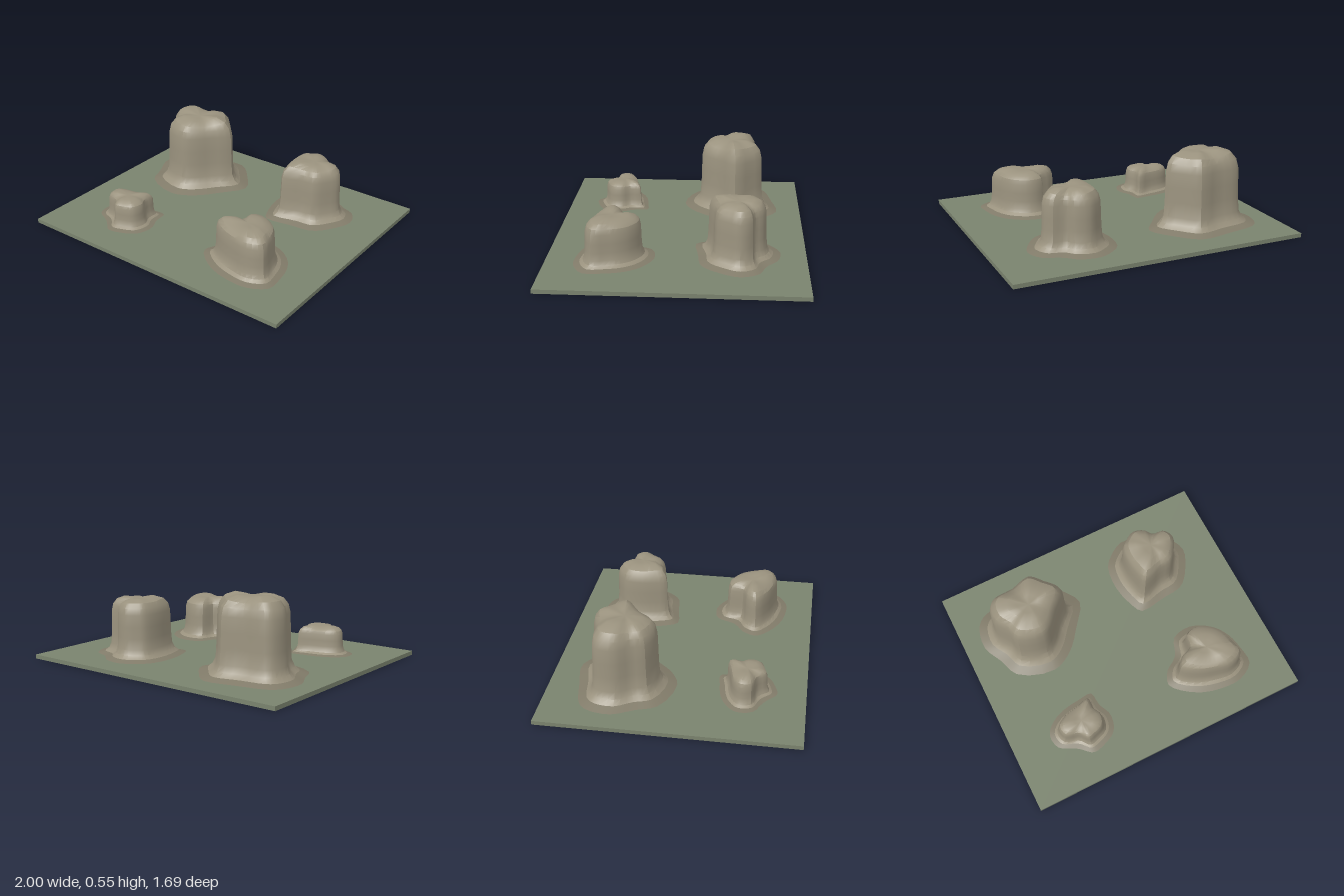
import * as THREE from 'three';
import { toCreasedNormals } from 'three/addons/utils/BufferGeometryUtils.js';

const GROUND = 0.028;
const SEGMENTS = 36;

const material = (color) => new THREE.MeshStandardMaterial({ color, roughness: 0.95 });

// Each rock: peak height, summit [x, z] and the plan outline of its wall
const ROCKS = [
  { name: 'backLeftRock', height: 0.545, summit: [-0.49, -0.335], outline: [
    [-0.225, -0.37], [-0.33, -0.26], [-0.41, -0.165], [-0.49, -0.12], [-0.66, -0.175], [-0.69, -0.265],
    [-0.75, -0.36], [-0.74, -0.47], [-0.695, -0.515], [-0.54, -0.53], [-0.395, -0.565], [-0.305, -0.48]] },
  { name: 'backRightRock', height: 0.43, summit: [0.465, -0.4], outline: [
    [0.66, -0.41], [0.62, -0.33], [0.555, -0.25], [0.46, -0.24], [0.32, -0.2], [0.29, -0.28], [0.275, -0.4],
    [0.29, -0.5], [0.33, -0.54], [0.4, -0.58], [0.49, -0.555], [0.535, -0.5], [0.62, -0.485]] },
  { name: 'frontRightRock', height: 0.325, summit: [0.475, 0.405], outline: [
    [0.5, 0.225], [0.6, 0.28], [0.65, 0.35], [0.675, 0.43], [0.69, 0.53], [0.595, 0.58],
    [0.485, 0.565], [0.35, 0.52], [0.255, 0.445], [0.3, 0.375], [0.38, 0.34], [0.405, 0.245]] },
  { name: 'frontLeftRock', height: 0.217, summit: [-0.5, 0.455], outline: [
    [-0.385, 0.32], [-0.385, 0.4], [-0.355, 0.46], [-0.375, 0.54], [-0.45, 0.575], [-0.505, 0.585],
    [-0.555, 0.525], [-0.645, 0.495], [-0.66, 0.42], [-0.6, 0.37], [-0.475, 0.34]] },
];

// Skin a stack of closed rings from bottom to top; a one-point ring closes as a fan
function skin(rings) {
  const positions = [];
  const put = (...points) => points.forEach((p) => positions.push(p.x, p.y, p.z));
  for (let i = 0; i < rings.length - 1; i++) {
    const low = rings[i], high = rings[i + 1];
    for (let j = 0; j < SEGMENTS; j++) {
      const k = (j + 1) % SEGMENTS;
      if (high.length === 1) { put(low[j], high[0], low[k]); continue; }
      put(low[j], high[j], low[k]);
      put(low[k], high[j], high[k]);
    }
  }
  const geometry = new THREE.BufferGeometry();
  geometry.setAttribute('position', new THREE.Float32BufferAttribute(positions, 3));
  return toCreasedNormals(geometry, 0.5);
}

function createRock({ name, height, summit, outline }, rockMaterial, apronMaterial) {
  const centre = new THREE.Vector3(summit[0], 0, summit[1]);
  const plan = new THREE.CatmullRomCurve3(
    outline.map(([x, z]) => new THREE.Vector3(x, 0, z)), true, 'centripetal')
    .getPoints(SEGMENTS).slice(0, SEGMENTS);
  const reach = plan.map((p) => p.distanceTo(centre));
  const mean = reach.reduce((a, b) => a + b) / SEGMENTS;

  // Scale the plan about the summit, spread it outwards, and lift it;
  // on the dome, long lobes stay higher and the hollows between them sink
  const ring = (scale, spread, y, relief = 0) => plan.map((p, j) => {
    const r = reach[j] * scale + spread;
    const lift = relief * height * THREE.MathUtils.clamp(reach[j] / mean - 1, -0.3, 0.15);
    const point = p.clone().sub(centre).setLength(r).add(centre);
    point.y = y + lift;
    return point;
  });

  const flare = 0.035 + 0.15 * height;
  const footY = GROUND + 0.035 * height;
  const foot = ring(1, flare * 0.48, footY);
  const top = centre.clone().setY(height * 0.975);

  const group = new THREE.Group();
  group.name = name;

  // Low fan of soil around the foot
  const apron = new THREE.Mesh(skin([ring(1, flare, GROUND + 0.001), foot]), apronMaterial);
  apron.name = 'soilApron';

  // Flared foot, banded wall and rounded, lobed dome
  const body = new THREE.Mesh(skin([
    foot,
    ring(1, flare * 0.2, footY + 0.05 * height),
    ring(1, 0.004, footY + 0.13 * height),
    ring(0.99, 0, height * 0.4),
    ring(0.98, 0, height * 0.58),
    ring(0.965, 0, height * 0.77),
    ring(0.91, 0, height * 0.87, 0.05),
    ring(0.78, 0, height * 0.94, 0.12),
    ring(0.52, 0, height * 0.985, 0.12),
    ring(0.28, 0, height * 0.985, 0.06),
    [top],
  ]), rockMaterial);
  body.name = 'rockBody';

  group.add(apron, body);
  return group;
}

export function createModel() {
  const model = new THREE.Group();
  model.name = 'rockField';

  // Flat slab of ground
  const ground = new THREE.Mesh(new THREE.BoxGeometry(2, GROUND, 1.686), material(0x7a836e));
  ground.name = 'ground';
  ground.position.y = GROUND / 2;
  model.add(ground);

  const rockMaterial = material(0x9a927e);
  const apronMaterial = material(0x817b69);
  for (const rock of ROCKS) model.add(createRock(rock, rockMaterial, apronMaterial));
  return model;
}
